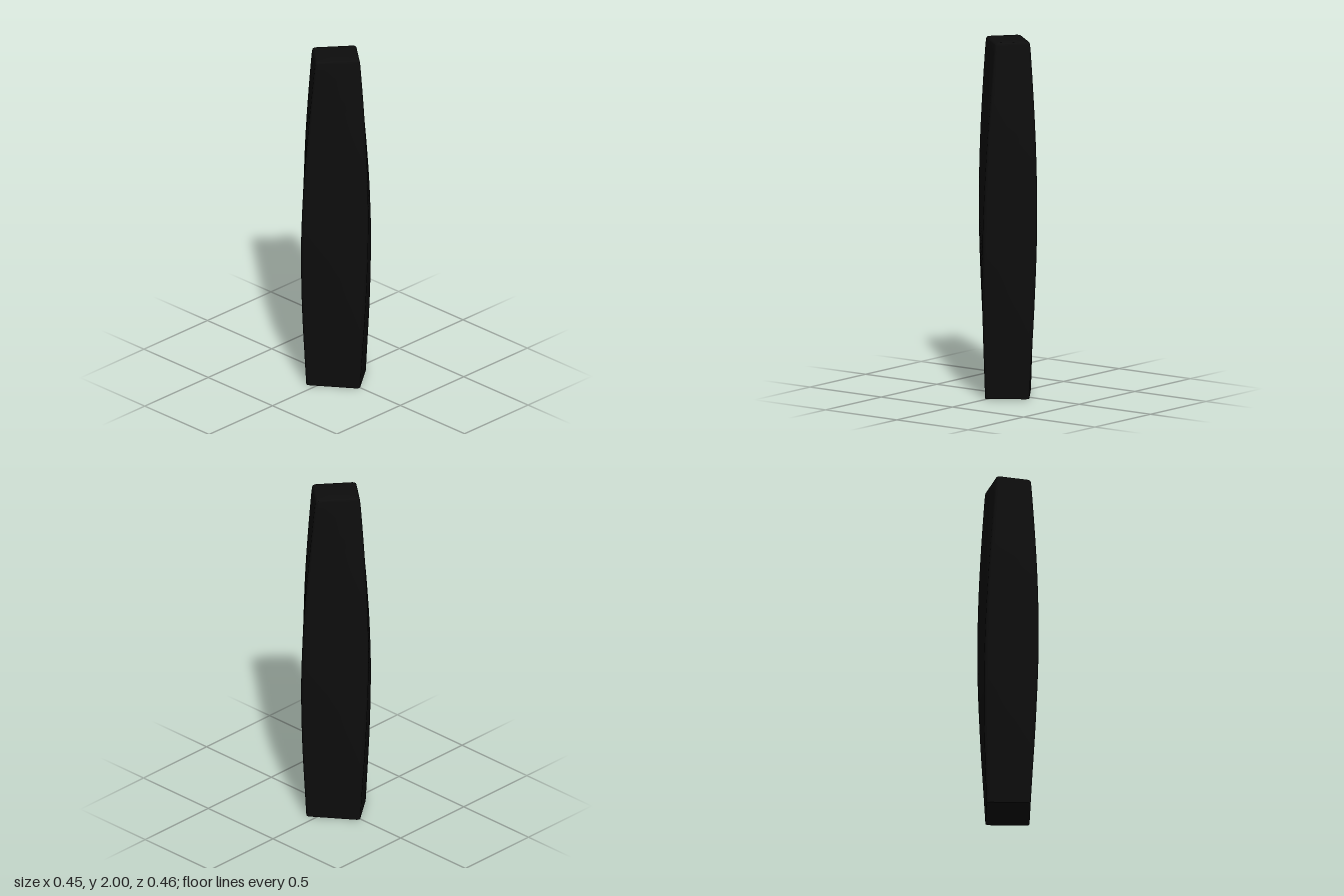
import * as THREE from 'three';
import { toCreasedNormals } from 'three/addons/utils/BufferGeometryUtils.js';

// Corner radius of the section at each height: swells below the middle, narrows to the top
const profile = new THREE.SplineCurve([
  [0, 0.194], [0.2, 0.208], [0.4, 0.222], [0.6, 0.232], [0.85, 0.239], [1.1, 0.235],
  [1.3, 0.225], [1.5, 0.21], [1.75, 0.186], [2, 0.159],
].map(([y, r]) => new THREE.Vector2(y, r)));
const HALF_DIAGONAL = THREE.MathUtils.degToRad(39);
const CORNER_STEPS = 3;

// Rounded rectangle, turned a little further at every height
function section(y, r, inset = 0, scale = 1) {
  const a = r * Math.cos(HALF_DIAGONAL) - inset;
  const b = r * Math.sin(HALF_DIAGONAL) - inset;
  const round = 0.09 * r;
  const turn = THREE.MathUtils.degToRad(54 - 4.79 * y - 1.28 * y * y);
  const points = [];
  [[1, 1], [-1, 1], [-1, -1], [1, -1]].forEach(([sx, sz], corner) => {
    for (let i = 0; i <= CORNER_STEPS; i++) {
      const t = (corner + i / CORNER_STEPS) * Math.PI / 2;
      const u = (sx * (a - round) + round * Math.cos(t)) * scale;
      const v = (sz * (b - round) + round * Math.sin(t)) * scale;
      points.push([
        u * Math.cos(turn) - v * Math.sin(turn), y,
        u * Math.sin(turn) + v * Math.cos(turn),
      ]);
    }
  });
  return points;
}

// Joins the sections from bottom to top; the first and last are single points
function loft(rings) {
  const positions = [];
  for (let k = 0; k < rings.length - 1; k++) {
    const low = rings[k], high = rings[k + 1];
    for (let j = 0; j < low.length; j++) {
      const n = (j + 1) % low.length;
      if (k < rings.length - 2) positions.push(...low[j], ...high[j], ...high[n]);
      if (k > 0) positions.push(...low[j], ...high[n], ...low[n]);
    }
  }
  const geometry = new THREE.BufferGeometry();
  geometry.setAttribute('position', new THREE.Float32BufferAttribute(positions, 3));
  return toCreasedNormals(geometry, 0.6);
}

export function createModel() {
  const group = new THREE.Group();
  group.name = 'twistedPillar';

  // Flat base, then the bulging twisted sides
  const rings = [section(0, 0.194, 0, 0)];
  const LEVELS = 36, TOP = 1.985;
  for (let i = 0; i <= LEVELS; i++) {
    const p = profile.getPoint(i / LEVELS);
    rings.push(section(Math.min(p.x, TOP), p.y));
  }
  // Small rounded rim and flat top
  const rim = 0.013;
  for (let i = 1; i <= 3; i++) {
    const t = (i / 3) * Math.PI / 2;
    rings.push(section(TOP + 0.015 * Math.sin(t), 0.159, rim * (1 - Math.cos(t))));
  }
  rings.push(section(2, 0.159, rim, 0));

  const pillar = new THREE.Mesh(loft(rings), new THREE.MeshStandardMaterial({ color: 0x0d0d0d }));
  pillar.name = 'pillar';
  group.add(pillar);
  return group;
}
